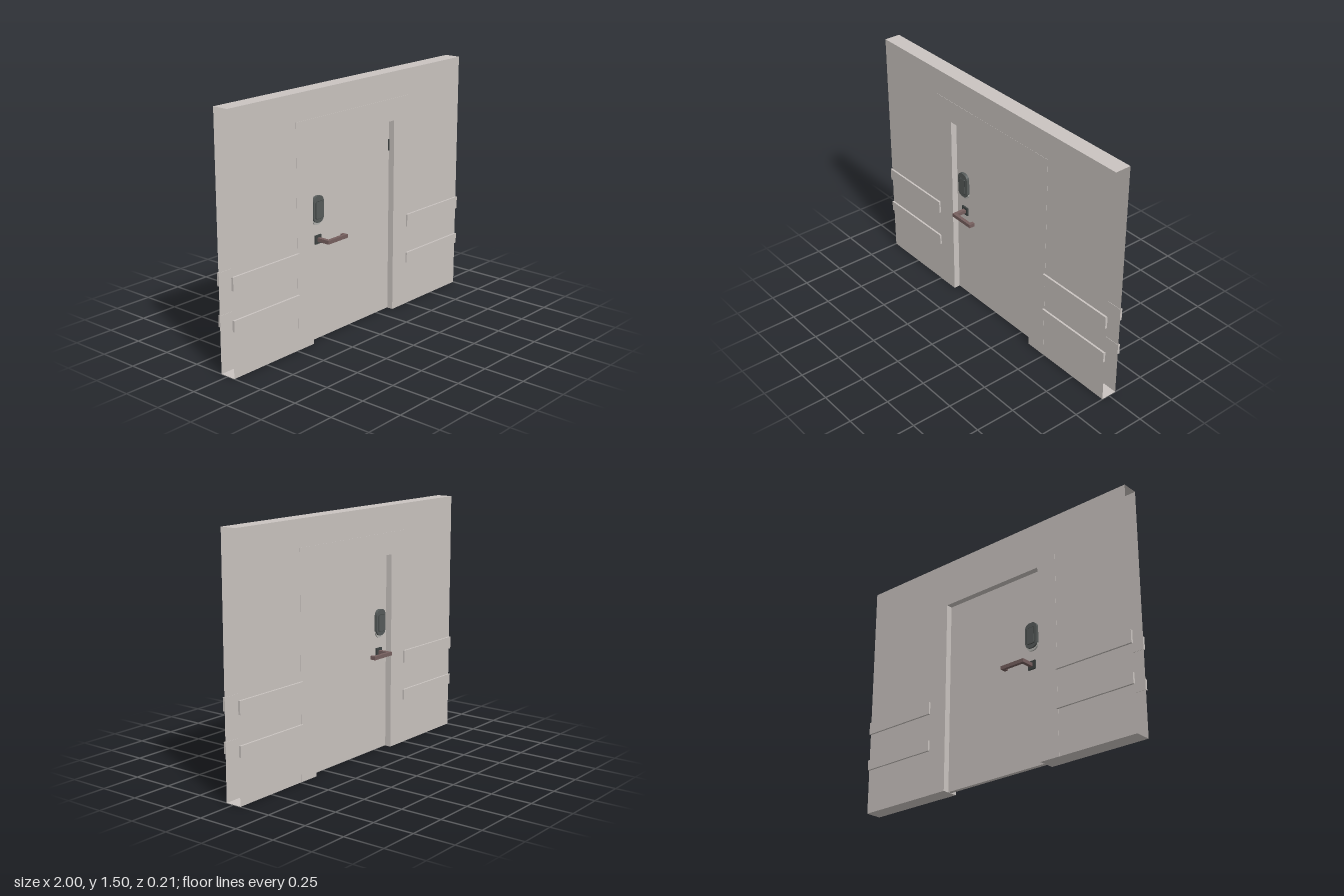
import * as THREE from 'three';

const mat = (name, color, side = THREE.FrontSide) => {
  const m = new THREE.MeshStandardMaterial({ color, side });
  m.name = name;
  return m;
};

// Upside-down U: outer half width and height, around an inner opening
function archShape(xo, yo, xi, yi) {
  return new THREE.Shape([
    [-xo, 0], [-xi, 0], [-xi, yi], [xi, yi], [xi, 0], [xo, 0], [xo, yo], [-xo, yo],
  ].reverse().map(([x, y]) => new THREE.Vector2(x, y)).reverse());
}

// Upright rounded slab outline, centred on the origin
function pillShape(w, h, r) {
  const s = new THREE.Shape();
  const x = w / 2 - r, y = h / 2 - r;
  s.absarc(x, y, r, 0, Math.PI / 2);
  s.absarc(-x, y, r, Math.PI / 2, Math.PI);
  s.absarc(-x, -y, r, Math.PI, Math.PI * 1.5);
  s.absarc(x, -y, r, Math.PI * 1.5, Math.PI * 2);
  s.closePath();
  return s;
}

export function createModel() {
  const root = new THREE.Group();
  root.name = 'doorInWall';
  const wallMat = mat('warmGreyPaint', 0xcac4c0, THREE.DoubleSide);
  const lockMat = mat('darkLockMetal', 0x565b5a);
  const trimMat = mat('paleLockTrim', 0xb4b4b0);
  const rimMat = mat('charcoalMetal', 0x3f4443);
  const leverMat = mat('mauveBrownMetal', 0x76605f);

  const add = (parent, name, geo, material, x = 0, y = 0, z = 0) => {
    const m = new THREE.Mesh(geo, material);
    m.name = name;
    m.position.set(x, y, z);
    parent.add(m);
    return m;
  };
  // Box given by its minimum and maximum along each axis
  const box = (parent, name, material, [x0, x1], [y0, y1], [z0, z1]) => add(parent, name,
    new THREE.BoxGeometry(x1 - x0, y1 - y0, Math.abs(z1 - z0)), material,
    (x0 + x1) / 2, (y0 + y1) / 2, (z0 + z1) / 2);

  // Hollow wall: two skins, top and floor strips, open at both ends
  const H = 1.495, T = 0.05;
  const skin = new THREE.ShapeGeometry(archShape(1, H, 0.49, 1.335));
  add(root, 'wallFront', skin, wallMat, 0, 0, T);
  add(root, 'wallBack', skin, wallMat, 0, 0, -T).rotation.y = Math.PI;
  const strip = (name, w, x, y, turn) => {
    add(root, name, new THREE.PlaneGeometry(w, 2 * T), wallMat, x, y, 0).rotation.x = turn;
  };
  strip('wallTop', 2, 0, H, -Math.PI / 2);
  for (const s of [-1, 1]) strip('wallBottom', 0.51, s * 0.745, 0, Math.PI / 2);

  // Door frame, barely proud of the wall
  const frame = new THREE.ExtrudeGeometry(archShape(0.491, 1.335, 0.36, 1.2),
    { depth: 2 * T + 0.002, bevelEnabled: false });
  add(root, 'doorFrame', frame, wallMat, 0, 0, -T - 0.001);

  // Thin door leaf set back from both faces
  const D = 0.012;
  box(root, 'doorLeaf', wallMat, [-0.36, 0.36], [0.002, 1.2], [-D, D]);
  box(root, 'hinge', rimMat, [0.35, 0.357], [1.01, 1.08], [D, D + 0.006]);

  // Wall guards, two on each side of the door, front and back
  for (const z of [-1, 1]) {
    for (const x of [-1, 1]) {
      for (const [y0, y1] of [[0.275, 0.34], [0.51, 0.587]]) {
        const xs = x > 0 ? [0.485, 1] : [-1, -0.485];
        box(root, 'wallGuard', wallMat, xs, [y0, y1], [z * 0.048, z * 0.062]);
      }
    }
  }

  // Lock and lever sets, mirrored through the door
  for (const s of [-1, 1]) {
    const set = new THREE.Group();
    set.name = s > 0 ? 'frontHardware' : 'backHardware';
    root.add(set);
    const slab = (name, material, w, h, r, y, from, to) => add(set, name,
      new THREE.ExtrudeGeometry(pillShape(w, h, r),
        { depth: to - from, bevelEnabled: false, curveSegments: 8 }),
      material, -0.287, y, s > 0 ? from : -to);
    slab('lockTrim', trimMat, 0.082, 0.17, 0.038, 0.785, D, D + 0.008);
    slab('lockBody', lockMat, 0.084, 0.158, 0.034, 0.794, D, 0.03);
    slab('lockCover', rimMat, 0.056, 0.105, 0.01, 0.79, 0.03, 0.033);
    slab('lockPanel', lockMat, 0.05, 0.099, 0.008, 0.79, 0.033, 0.035);

    box(set, 'leverPlate', rimMat, [-0.308, -0.256], [0.585, 0.637], [s * D, s * 0.022]);
    box(set, 'leverNeck', leverMat, [-0.292, -0.27], [0.6, 0.622], [s * 0.022, s * 0.086]);
    box(set, 'leverBar', leverMat, [-0.292, -0.125], [0.6, 0.622], [s * 0.086, s * 0.106]);
    box(set, 'leverReturn', leverMat, [-0.147, -0.125], [0.6, 0.622], [s * 0.07, s * 0.086]);
  }
  return root;
}
